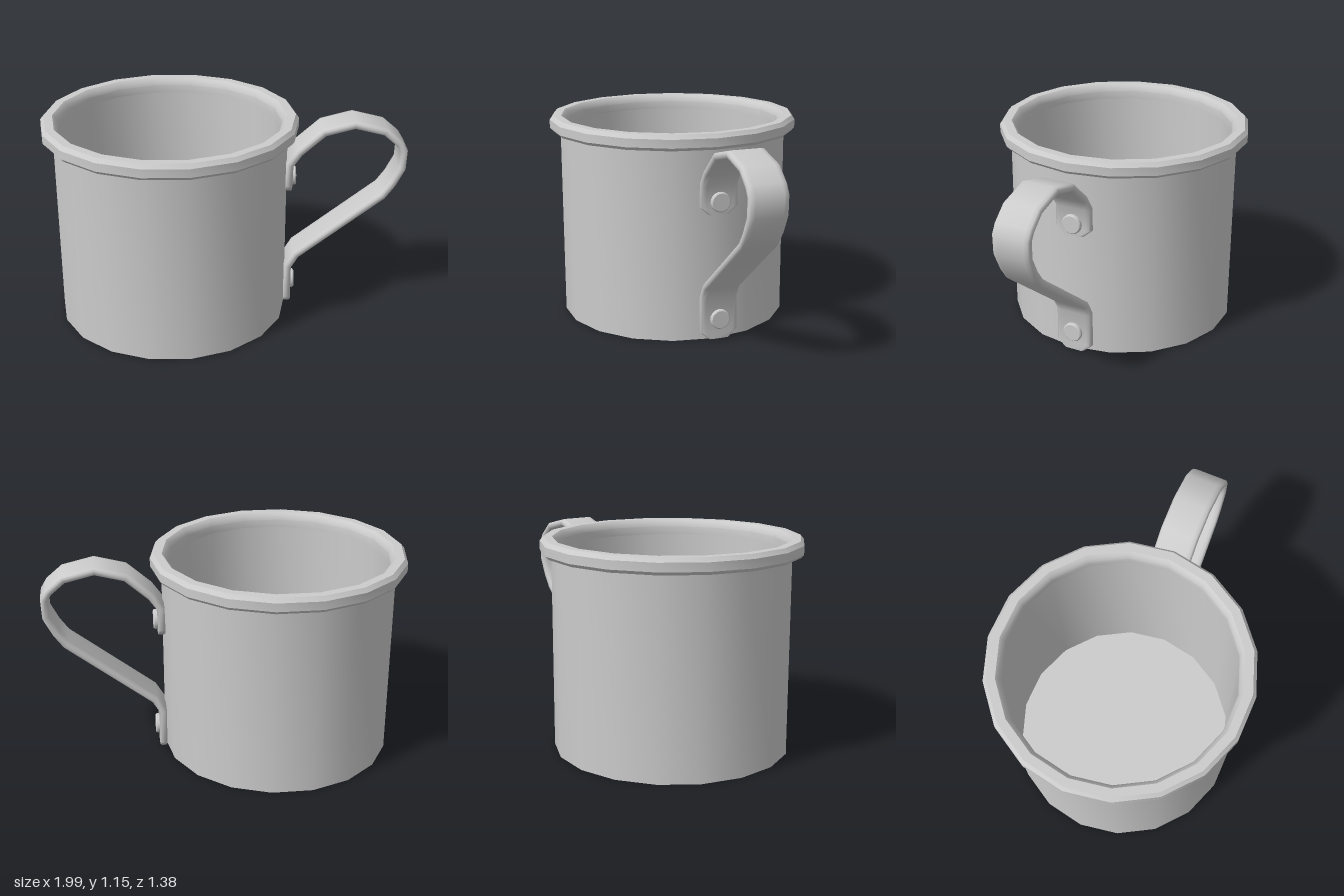
import * as THREE from 'three';
import { toCreasedNormals } from 'three/addons/utils/BufferGeometryUtils.js';

const SIDES = 18;
const CUP_X = -0.3;
const HANDLE_Z = -0.025;

const v2 = ([x, y]) => new THREE.Vector2(x, y);

// Flat strap with softened edges, swept along a path in the xy plane.
// Each station is [x, y, half width].
function strapGeometry(stations) {
  const corner = [[0.105, 0.008], [0.096, 0.018], [0.075, 0.02]];
  const flip = [...corner].reverse();
  const ring = [
    ...corner,
    ...flip.map(([w, u]) => [-w, u]),
    ...corner.map(([w, u]) => [-w, -u]),
    ...flip.map(([w, u]) => [w, -u]),
  ];
  const n = ring.length;
  const last = stations.length - 1;
  const pts = stations.map(v2);
  const position = [];
  const index = [];
  stations.forEach(([x, y, half], i) => {
    const before = pts[Math.max(i, 1)].clone().sub(pts[Math.max(i, 1) - 1]).normalize();
    const j = Math.min(i, last - 1);
    const after = pts[j + 1].clone().sub(pts[j]).normalize();
    const t = before.clone().add(after).normalize();
    const miter = 1 / t.dot(after);
    for (const [w, u] of ring) {
      position.push(x + t.y * u * miter, y - t.x * u * miter, (w * half) / 0.105);
    }
    if (i === last) return;
    for (let k = 0; k < n; k++) {
      const a = i * n + k;
      const b = i * n + ((k + 1) % n);
      index.push(a, b, b + n, a, b + n, a + n);
    }
  });
  // End caps
  for (let k = 1; k < n - 1; k++) {
    index.push(0, k + 1, k, last * n, last * n + k, last * n + k + 1);
  }
  const geometry = new THREE.BufferGeometry();
  geometry.setAttribute('position', new THREE.Float32BufferAttribute(position, 3));
  geometry.setIndex(index);
  return toCreasedNormals(geometry, 0.9);
}

export function createModel() {
  const model = new THREE.Group();
  model.name = 'mug';
  const material = new THREE.MeshStandardMaterial({ color: 0xcccccc });

  const add = (name, geometry, x, y, z) => {
    const mesh = new THREE.Mesh(geometry, material);
    mesh.name = name;
    mesh.position.set(x, y, z);
    model.add(mesh);
    return mesh;
  };

  const lathe = (profile) => toCreasedNormals(
    new THREE.LatheGeometry(profile.map(v2), SIDES, Math.PI / 2), 0.5);

  // Cup wall with floor, outside then inside
  add('cup', lathe([
    [0, 0], [0.64, 0], [0.64, 1.1], [0.615, 1.1], [0.615, 0.02], [0, 0.02],
  ]), CUP_X, 0, 0);

  // Rolled rim
  add('rim', lathe([
    [0.61, 1.065], [0.685, 1.065], [0.7, 1.082], [0.7, 1.128], [0.682, 1.15],
    [0.635, 1.15], [0.62, 1.135], [0.61, 1.11], [0.61, 1.065],
  ]), CUP_X, 0, 0);

  // Strap handle, from the lower tab round to the upper tab
  const path = [
    [0.355, 0.05], [0.355, 0.25], [0.4, 0.325], [0.87, 0.69], [0.92, 0.76],
    [0.968, 0.855], [0.972, 0.955], [0.945, 1.0], [0.865, 1.068], [0.7, 1.108],
    [0.535, 1.065], [0.405, 0.95], [0.353, 0.877], [0.35, 0.75],
  ].map(([x, y]) => [x, y, 0.105]);
  add('handle', strapGeometry([
    [0.355, 0.01, 0.058], ...path, [0.35, 0.71, 0.058],
  ]), 0, 0, HANDLE_Z);

  // Rivets holding the tabs
  const rivet = toCreasedNormals(new THREE.LatheGeometry(
    [[0, -0.03], [0.055, -0.03], [0.055, 0.014], [0.049, 0.02], [0, 0.02]].map(v2), 18), 0.5);
  for (const [name, x, y] of [['lowerRivet', 0.376, 0.125], ['upperRivet', 0.372, 0.78]]) {
    add(name, rivet, x, y, HANDLE_Z).rotation.z = -Math.PI / 2;
  }

  return model;
}
